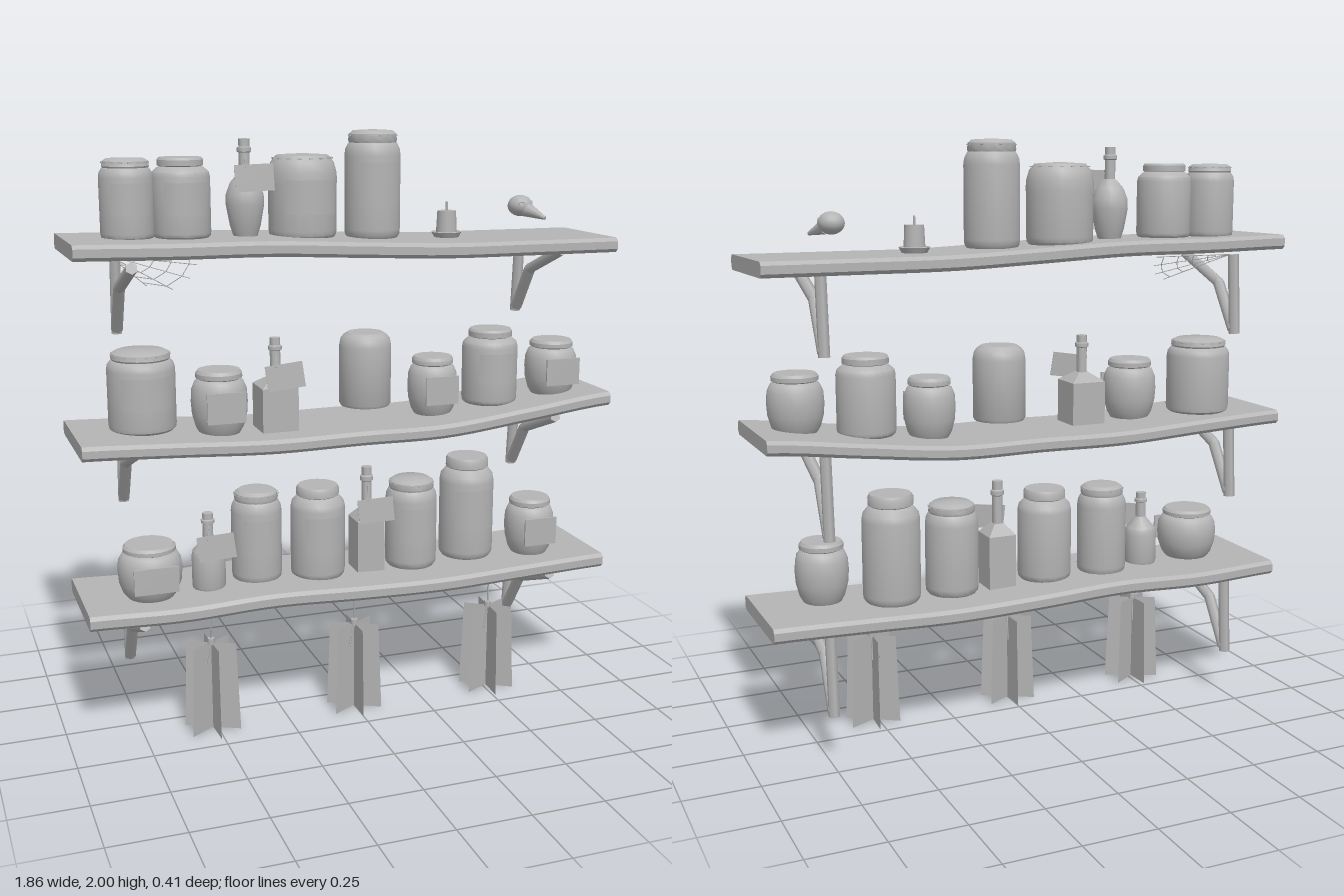
import * as THREE from 'three';
import { toCreasedNormals } from 'three/addons/utils/BufferGeometryUtils.js';

const clay = new THREE.MeshStandardMaterial({ color: 0xb4b4b4, side: THREE.DoubleSide });
clay.name = 'plainGrey';

const V = (x, y, z) => new THREE.Vector3(x, y, z);

function add(parent, name, geo, x = 0, y = 0, z = 0) {
  const mesh = new THREE.Mesh(geo, clay);
  mesh.name = name;
  mesh.position.set(x, y, z);
  parent.add(mesh);
  return mesh;
}

function group(parent, name, x = 0, y = 0, z = 0) {
  const g = new THREE.Group();
  g.name = name;
  g.position.set(x, y, z);
  parent.add(g);
  return g;
}

// Straight rod between two points
function rod(parent, name, a, b, r, sides = 4, r2 = r) {
  const m = add(parent, name, new THREE.CylinderGeometry(r2, r, a.distanceTo(b), sides));
  m.position.copy(a).lerp(b, 0.5);
  m.quaternion.setFromUnitVectors(V(0, 1, 0), b.clone().sub(a).normalize());
  return m;
}

// Turned solid from a profile given as fractions of radius and height
function turned(profile, r, h, sides = 24) {
  const pts = profile.map(([a, b]) => new THREE.Vector2(a * r, b * h));
  return toCreasedNormals(new THREE.LatheGeometry(pts, sides), 0.6);
}

const profiles = {
  cloth: [[0, 0], [0.9, 0], [0.98, 0.03], [1, 0.08], [1, 0.76], [0.97, 0.82], [0.88, 0.87], [0.84, 0.88],
    [0.87, 0.9], [0.84, 0.96], [0.7, 0.99], [0, 1]],
  lidded: [[0, 0], [0.9, 0], [0.98, 0.03], [1, 0.07], [1, 0.76], [0.96, 0.82], [0.78, 0.88], [0.72, 0.89],
    [0.78, 0.9], [0.78, 0.97], [0.72, 1], [0, 1]],
  round: [[0, 0], [0.72, 0], [0.85, 0.1], [0.97, 0.3], [1, 0.5], [0.97, 0.7], [0.86, 0.82], [0.74, 0.86],
    [0.82, 0.88], [0.82, 0.95], [0.74, 1], [0, 1]],
  plain: [[0, 0], [0.94, 0], [1, 0.04], [1, 0.82], [0.95, 0.91], [0.84, 0.96], [0.68, 1], [0, 1]],
  dome: [[0, 0], [0.88, 0], [0.96, 0.04], [0.98, 0.1], [0.98, 0.65], [1, 0.65], [0.98, 0.78], [0.9, 0.9],
    [0.74, 0.98], [0, 1]],
};

function jar(parent, type, x, z, r, y0, y1) {
  const h = y1 - y0;
  const g = group(parent, type + 'Jar', x, y0, z);
  add(g, 'jarBody', turned(profiles[type], r, h, type === 'dome' ? 16 : 24));
  if (type === 'round') {
    // Flat paper label standing off the belly
    add(g, 'jarLabel', new THREE.BoxGeometry(r * 1.38, h * 0.48, 0.006), 0, h * 0.47, r * 1.02);
  } else if (type !== 'plain') {
    // Label wrapped around the front
    add(g, 'jarLabel', new THREE.CylinderGeometry(r * 1.012, r * 1.012, h * 0.4, 12, 1, true, -0.8, 1.6), 0, h * 0.5, 0);
  }
  if (type === 'cloth' || type === 'dome') {
    // Stitches around the cover
    for (let i = 0; i < 16; i++) {
      const a = (i / 16) * Math.PI * 2;
      const k = r * 0.84;
      const s = add(g, 'stitch', new THREE.BoxGeometry(0.012, 0.004, 0.008),
        Math.sin(a) * k, h * 0.945, Math.cos(a) * k);
      s.rotation.y = a;
    }
  }
}

// Bottle with a hanging tag; square ones have four flat sides
function bottle(parent, shape, x, z, r, y0, y1, shoulder, tilt) {
  const h = y1 - y0, s = shoulder, n = 0.018 / r;
  const g = group(parent, shape + 'Bottle', x, y0, z);
  if (shape === 'square') {
    add(g, 'bottleBody', new THREE.BoxGeometry(r * 2, h * s, r * 2), 0, h * s / 2, 0);
    const top = new THREE.CylinderGeometry(0.018 * 1.41, r * 1.414, h * 0.1, 4, 1).toNonIndexed();
    top.rotateY(Math.PI / 4);
    top.computeVertexNormals();
    add(g, 'bottleShoulder', top, 0, h * (s + 0.05), 0);
    add(g, 'bottleNeck', turned([[1, s + 0.08], [1, 0.86], [1.3, 0.87], [1.3, 0.91], [1, 0.92], [1, 1], [0, 1]], 0.018, h, 12));
  } else {
    const body = shape === 'vase'
      ? [[0, 0], [0.6, 0], [0.8, 0.12], [1, 0.34], [0.98, 0.44], [0.75, 0.56], [0.4, 0.64]]
      : [[0, 0], [0.95, 0], [1, 0.04], [1, s - 0.08], [0.92, s], [0.5, s + 0.1]];
    add(g, 'bottleBody', turned([...body, [n, s + 0.16], [n, 0.86], [n * 1.3, 0.87], [n * 1.3, 0.91],
      [n, 0.92], [n, 1], [0, 1]], r, h, 16));
  }
  const tag = add(g, 'bottleTag', new THREE.BoxGeometry(0.125, 0.085, 0.004), 0.01, h * 0.62, r + 0.02);
  tag.rotation.set(-0.08, -0.18, tilt);
  rod(g, 'tagString', V(0, h * 0.83, 0.018), V(-0.02, h * 0.72, r + 0.018), 0.002);
}

// Warped plank: chamfered section swept along x, then bent through knots of height
function shelf(parent, knots, thick) {
  const c = 0.012, w = 0.2, t = thick / 2;
  const s = new THREE.Shape([[-w + c, -t], [w - c, -t], [w, -t + c], [w, t - c], [w - c, t], [-w + c, t], [-w, t - c], [-w, -t + c]]
    .map(p => new THREE.Vector2(p[0], p[1])));
  let geo = new THREE.ExtrudeGeometry(s, { depth: 1.86, steps: 32, bevelEnabled: false });
  geo.translate(0, 0, -0.93);
  geo.rotateY(Math.PI / 2);
  const curve = new THREE.SplineCurve(knots.map((y, i) => new THREE.Vector2(i, y)));
  const p = geo.attributes.position;
  for (let i = 0; i < p.count; i++) {
    const u = THREE.MathUtils.clamp((p.getX(i) + 0.93) / 1.86, 0, 1);
    p.setY(i, p.getY(i) - t + curve.getPoint(u).y);
  }
  add(parent, 'shelfBoard', toCreasedNormals(geo, 0.5));
}

// Wall bracket: leaning post and a bent brace
function bracket(parent, x, yBottom) {
  const g = group(parent, 'bracket', x, yBottom, 0);
  rod(g, 'bracketPost', V(0, 0.005, -0.188), V(0, 0.28, -0.168), 0.019, 6);
  const elbow = V(-0.008, 0.175, -0.065);
  rod(g, 'lowerBrace', V(0, 0.02, -0.18), elbow, 0.02, 6);
  rod(g, 'upperBrace', elbow, V(-0.008, 0.265, 0.165), 0.02, 6);
  add(g, 'braceElbow', new THREE.SphereGeometry(0.02, 6, 5), elbow.x, elbow.y, elbow.z);
}

// Bunch of dried herbs: three crossed leaf sheets on a string
function herbBundle(parent, x, turn, shelfY) {
  const g = group(parent, 'herbBundle', x, 0, 0.11);
  rod(g, 'hangingString', V(0, 0.29, 0), V(0, shelfY, 0), 0.003);
  const sheet = new THREE.Shape([[-0.098, 0], [0.098, 0], [0.086, 0.312], [-0.086, 0.312]].map(p => new THREE.Vector2(...p)));
  [90, 30, 150].forEach(a => {
    add(g, 'leafSheet', new THREE.ShapeGeometry(sheet)).rotation.y = THREE.MathUtils.degToRad(a) + turn;
  });
  add(g, 'knot', new THREE.CylinderGeometry(0.013, 0.013, 0.022, 8), 0, 0.316, 0);
  for (let i = 0; i < 5; i++) {
    const a = i * 1.257 + turn;
    rod(g, 'stem', V(Math.cos(a) * 0.03, 0.23, Math.sin(a) * 0.03), V(0, 0.33, 0), 0.003);
  }
}

export function createModel() {
  const model = new THREE.Group();
  model.name = 'jarShelves';

  // Boards, listed by height of the top surface from left to right
  shelf(model, [1.675, 1.668, 1.665, 1.65, 1.636, 1.634, 1.633], 0.05);
  shelf(model, [1.05, 1.036, 1.02, 1.022, 1.022, 1.055, 1.09], 0.048);
  shelf(model, [0.487, 0.477, 0.487, 0.475, 0.468, 0.478, 0.487], 0.05);
  for (const y of [1.33, 0.745, 0.16]) for (const x of [-0.74, 0.74]) bracket(model, x, y);

  // Jars: type, x, z, radius, bottom, top
  [
    ['cloth', -0.72, -0.03, 0.086, 1.665, 1.92], ['lidded', -0.548, -0.01, 0.094, 1.665, 1.92],
    ['dome', -0.135, -0.03, 0.116, 1.65, 1.925], ['cloth', 0.105, -0.01, 0.094, 1.645, 2],
    ['cloth', -0.695, -0.025, 0.112, 1.04, 1.308], ['round', -0.45, 0.04, 0.094, 1.025, 1.237],
    ['plain', 0.085, -0.02, 0.09, 1.065, 1.32], ['round', 0.33, 0, 0.088, 1.02, 1.225],
    ['lidded', 0.55, 0, 0.098, 1.045, 1.31], ['round', 0.78, 0.025, 0.093, 1.065, 1.262],
    ['round', -0.7, 0.035, 0.108, 0.48, 0.663], ['cloth', -0.315, -0.015, 0.087, 0.48, 0.802],
    ['lidded', -0.1, 0.01, 0.095, 0.475, 0.8], ['cloth', 0.255, 0, 0.092, 0.47, 0.792],
    ['lidded', 0.48, -0.02, 0.098, 0.475, 0.845], ['round', 0.702, 0.05, 0.09, 0.482, 0.69],
  ].forEach(j => jar(model, ...j));

  bottle(model, 'vase', -0.34, 0, 0.063, 1.66, 1.975, 0.5, 0.03);
  bottle(model, 'square', -0.255, 0.035, 0.062, 1.02, 1.33, 0.48, 0.12);
  bottle(model, 'round', -0.495, 0.02, 0.058, 0.48, 0.742, 0.5, 0.1);
  bottle(model, 'square', 0.085, 0, 0.05, 0.47, 0.845, 0.5, 0.07);

  // Candle stub in a dish
  const candle = group(model, 'candle', 0.378, 1.635, -0.01);
  add(candle, 'candleDish', turned([[0, 0], [0.8, 0], [1, 0.9], [0.94, 1], [0.75, 0.4], [0, 0.4]], 0.052, 0.02));
  add(candle, 'candleStub', new THREE.CylinderGeometry(0.032, 0.036, 0.082, 16), 0, 0.049, 0);
  add(candle, 'candleWick', new THREE.CylinderGeometry(0.004, 0.004, 0.04, 6), 0, 0.1, 0);

  // Bird skull with a drooping beak
  const skull = group(model, 'birdSkull', 0.652, 1.735, 0);
  add(skull, 'cranium', new THREE.SphereGeometry(0.043, 16, 12)).scale.set(1, 0.85, 1.05);
  rod(skull, 'beak', V(0.012, -0.012, 0.025), V(0.046, -0.037, 0.1), 0.026, 10, 0.006);
  for (const [x, z] of [[0.036, 0.016], [-0.012, 0.038]])
    add(skull, 'eyeRing', new THREE.TorusGeometry(0.01, 0.003, 6, 12), x, 0.005, z).rotation.y = x > 0 ? 1.1 : -0.3;

  // Cobweb under the top board
  const web = group(model, 'cobweb');
  const hub = V(-0.77, 1.605, -0.1);
  const ends = [V(-0.46, 1.605, -0.12), V(-0.49, 1.57, -0.05), V(-0.53, 1.535, 0.01), V(-0.6, 1.51, 0.07), V(-0.69, 1.53, 0.1)];
  ends.forEach((e, i) => {
    rod(web, 'webSpoke', hub, e, 0.0015, 3);
    for (let k = 0.3; i && k < 1; k += 0.2)
      rod(web, 'webThread', hub.clone().lerp(ends[i - 1], k), hub.clone().lerp(e, k), 0.0015, 3);
  });

  herbBundle(model, -0.515, 0.05, 0.45);
  herbBundle(model, 0, 0, 0.44);
  herbBundle(model, 0.515, -0.06, 0.44);
  return model;
}
